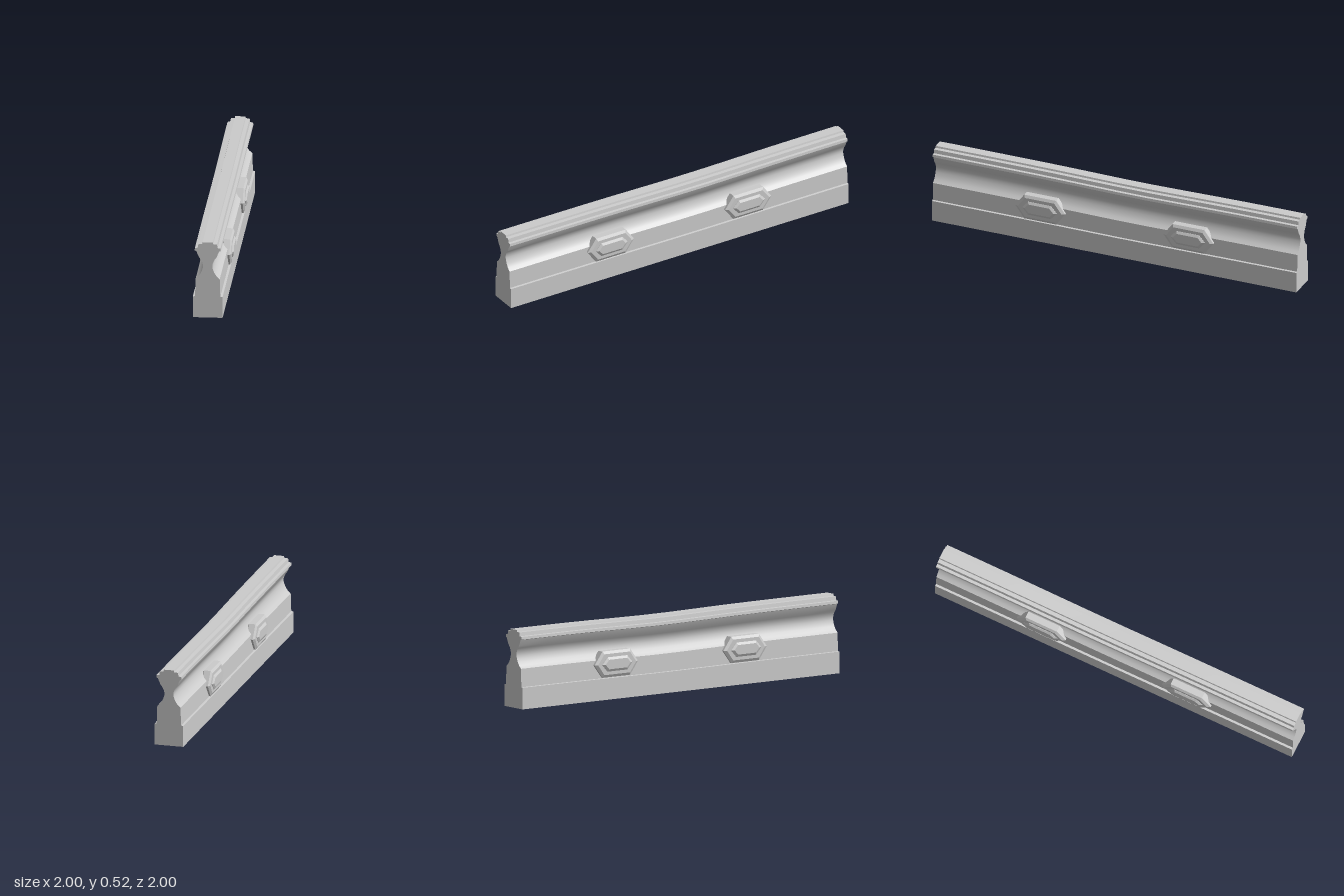
import * as THREE from 'three';
import { toCreasedNormals } from 'three/addons/utils/BufferGeometryUtils.js';

const HALF_LENGTH = 1.315;
const material = new THREE.MeshStandardMaterial({ color: 0xcccccc });

// Half of the symmetric cross-section: [half width, height]
const halfProfile = [
  [0.099, 0], [0.099, 0.145], [0.084, 0.147], [0.08, 0.27],
  [0.06, 0.288], [0.045, 0.31], [0.037, 0.33], [0.031, 0.35], [0.031, 0.368],
  [0.036, 0.385], [0.045, 0.403], [0.058, 0.42], [0.076, 0.462],
  [0.087, 0.466], [0.085, 0.484], [0.066, 0.486], [0.062, 0.511],
  [0.037, 0.513], [0.034, 0.525],
];

function createRail() {
  const mirrored = halfProfile.map(([w, y]) => [-w, y]).reverse();
  const shape = new THREE.Shape([...halfProfile, ...mirrored].map(([w, y]) => new THREE.Vector2(w, y)));
  const geometry = new THREE.ExtrudeGeometry(shape, { depth: 2 * HALF_LENGTH, steps: 12, bevelEnabled: false });
  geometry.translate(0, 0, -HALF_LENGTH).rotateY(Math.PI / 2);

  // Gentle worn sag, a little off the middle
  const p = geometry.attributes.position;
  for (let i = 0; i < p.count; i++) {
    const t = (p.getX(i) - 0.15) / 0.5;
    const y = p.getY(i);
    p.setY(i, y - 0.009 * Math.min(1, y / 0.3) * Math.exp(-t * t));
  }
  const mesh = new THREE.Mesh(toCreasedNormals(geometry, 0.6), material);
  mesh.name = 'mouldedWall';
  return mesh;
}

// Stretched hexagon with a bevelled face
function createHexagon(name, halfLength, flat, halfHeight, depth, bevel) {
  const outline = [
    [halfLength, 0], [flat, halfHeight], [-flat, halfHeight],
    [-halfLength, 0], [-flat, -halfHeight], [flat, -halfHeight],
  ].map(([x, y]) => new THREE.Vector2(x, y));
  const geometry = new THREE.ExtrudeGeometry(new THREE.Shape(outline), {
    depth, bevelEnabled: true, bevelSegments: 1,
    bevelSize: bevel, bevelOffset: -bevel, bevelThickness: bevel * 0.6,
  });
  const mesh = new THREE.Mesh(geometry, material);
  mesh.name = name;
  return mesh;
}

function createOrnament() {
  const group = new THREE.Group();
  group.name = 'hexOrnament';
  const plate = createHexagon('hexPlate', 0.18, 0.115, 0.088, 0.045, 0.018);
  plate.position.z = 0.05;
  const boss = createHexagon('hexBoss', 0.125, 0.082, 0.048, 0.045, 0.016);
  boss.position.z = 0.063;
  group.add(plate, boss);
  return group;
}

export function createModel() {
  const model = new THREE.Group();
  model.name = 'diagonalWall';

  const wall = new THREE.Group();
  wall.name = 'wall';
  wall.rotation.y = Math.PI / 4;
  wall.add(createRail());

  // Two ornaments on each long side
  for (const side of [0, Math.PI]) {
    for (const x of [-0.535, 0.535]) {
      const ornament = createOrnament();
      ornament.position.set(x, 0.238, 0);
      ornament.rotation.y = side;
      wall.add(ornament);
    }
  }
  model.add(wall);
  return model;
}
